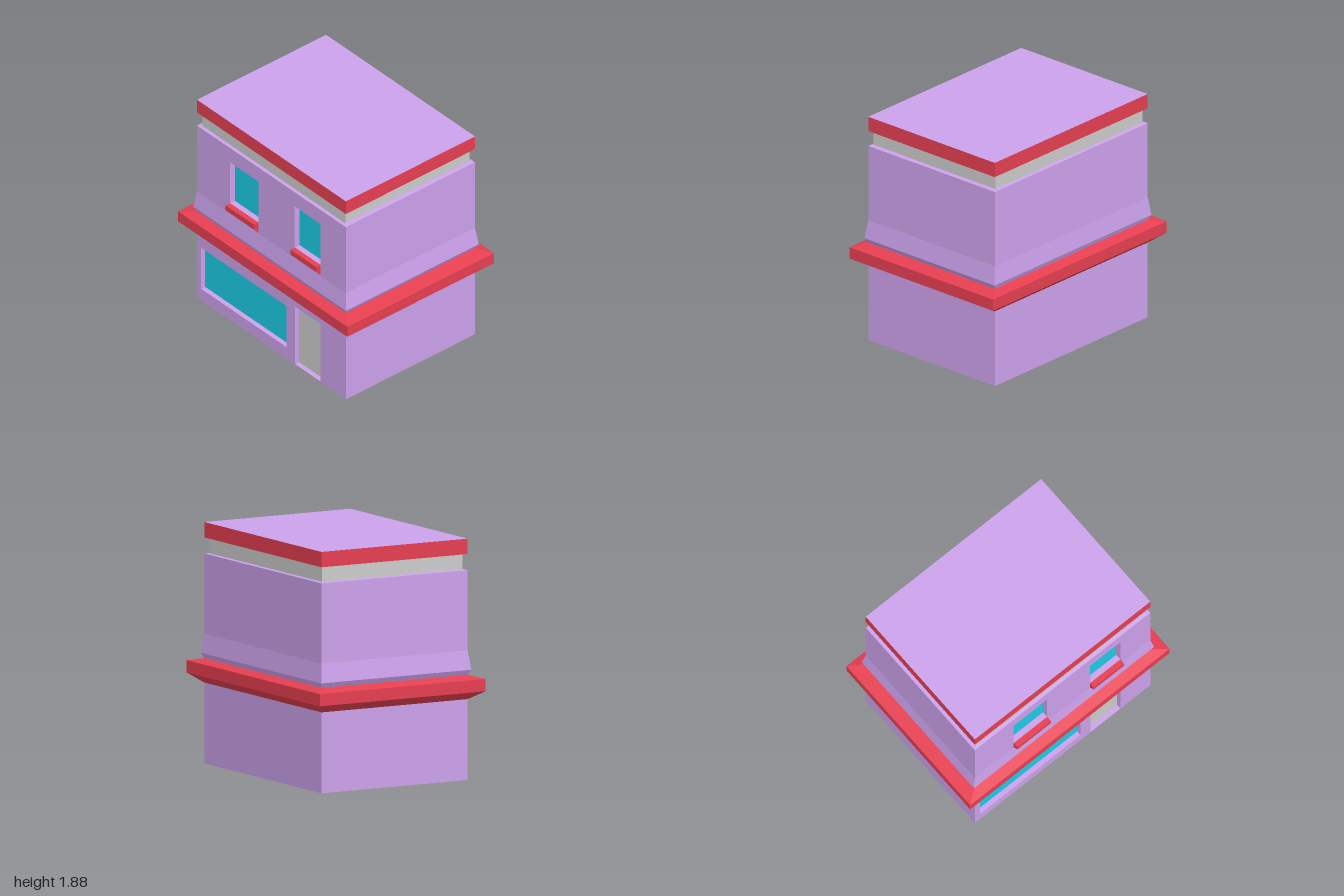
import * as THREE from 'three';

const paint = (color) => new THREE.MeshStandardMaterial({ color, flatShading: true });
const HX = 0.655, HZ = 0.88; // half width and half depth of the walls

// Rectangular rings [halfX, halfZ, y] joined from bottom to top on the chosen sides
// (0: +x, 1: -z, 2: -x, 3: +z), with optional flat caps.
function rings(profile, { sides = [0, 1, 2, 3], top = false, bottom = false } = {}) {
  const pos = [];
  const corners = ([x, z, y]) => [[x, y, z], [x, y, -z], [-x, y, -z], [-x, y, z]];
  const quad = (a, b, c, d) => pos.push(...a, ...b, ...c, ...a, ...c, ...d);
  const loops = profile.map(corners);
  for (let i = 0; i < loops.length - 1; i++) {
    const lo = loops[i], hi = loops[i + 1];
    for (const s of sides) {
      const n = (s + 1) % 4;
      quad(lo[s], lo[n], hi[n], hi[s]);
    }
  }
  if (top) quad(...loops[loops.length - 1]);
  if (bottom) quad(...[...loops[0]].reverse());
  const g = new THREE.BufferGeometry();
  g.setAttribute('position', new THREE.Float32BufferAttribute(pos, 3));
  g.computeVertexNormals();
  return g;
}

// Rectangle traced in the plane of the facade (z, y)
function rect(Type, [z0, z1, y0, y1]) {
  const p = new Type();
  p.moveTo(z0, y0).lineTo(z1, y0).lineTo(z1, y1).lineTo(z0, y1).closePath();
  return p;
}

export function createModel() {
  const group = new THREE.Group();
  const purple = paint(0xcca1eb), red = paint(0xe63f51), grey = paint(0xcccccc), teal = paint(0x1ccae4);
  const add = (name, geometry, material) => {
    const mesh = new THREE.Mesh(geometry, material);
    mesh.name = name;
    group.add(mesh);
    return mesh;
  };

  // Wall panel on the -x side, pierced by openings
  const facade = (name, y0, y1, openings, depth) => {
    const shape = rect(THREE.Shape, [-HZ, HZ, y0, y1]);
    shape.holes = openings.map((o) => rect(THREE.Path, o));
    const g = new THREE.ExtrudeGeometry(shape, { depth, bevelEnabled: false });
    add(name, g.rotateY(-Math.PI / 2).translate(-HX + depth, 0, 0), purple);
  };
  // Flat panel closing the back of an opening
  const pane = (name, [z0, z1, y0, y1], depth, material) => {
    const g = new THREE.PlaneGeometry(z1 - z0, y1 - y0).rotateY(-Math.PI / 2);
    add(name, g, material).position.set(-HX + depth, (y0 + y1) / 2, (z0 + z1) / 2);
  };

  // Ground floor
  const shop = [-0.83, 0.18, 0.11, 0.5], door = [0.28, 0.58, 0.005, 0.55];
  add('groundFloorWalls', rings([[HX, HZ, 0], [HX, HZ, 0.63]], { sides: [0, 1, 3], bottom: true }), purple);
  facade('groundFloorFacade', 0, 0.63, [shop, door], 0.04);
  pane('shopWindow', shop, 0.04, teal);
  pane('door', door, 0.04, grey);

  // Projecting cornice between the floors
  add('cornice', rings([[HX, HZ, 0.63], [0.743, 1, 0.7], [0.743, 1, 0.795], [HX, HZ, 0.82]]), red);

  // Flared skirt of the upper floor
  add('flaredSkirt', rings([[HX, HZ, 0.82], [0.673, 0.904, 0.86], [HX, HZ, 1.01]]), purple);

  // Upper floor
  const windows = [[-0.49, -0.155, 1.11, 1.5], [0.275, 0.58, 1.11, 1.5]];
  add('upperFloorWalls', rings([[HX, HZ, 1.01], [HX, HZ, 1.635]], { sides: [0, 1, 3] }), purple);
  facade('upperFloorFacade', 1.01, 1.635, windows, 0.05);
  add('wallLedge', rings([[HX, HZ, 1.635], [0.63, 0.845, 1.64]]), purple);

  // Upper windows with sloping sills
  const sillProfile = new THREE.Shape([[-HX, 1.015], [-HX, 1.112], [-0.7, 1.112], [-0.7, 1.065]]
    .map(([x, y]) => new THREE.Vector2(x, y)));
  for (const w of windows) {
    pane('upperWindow', w, 0.05, teal);
    const sill = new THREE.ExtrudeGeometry(sillProfile, { depth: w[1] - w[0], bevelEnabled: false });
    add('windowSill', sill, red).position.z = w[0];
  }

  // Recessed band and roof
  add('recessedBand', rings([[0.63, 0.845, 1.64], [0.63, 0.845, 1.755]]), grey);
  add('roofSoffit', rings([[0.63, 0.845, 1.755], [HX, HZ, 1.76]].reverse().map(([x, z, y]) => [x, z, y]).reverse()), purple);
  add('roofFascia', rings([[HX, HZ, 1.76], [HX, HZ, 1.88]]), red);
  add('roofTop', rings([[HX, HZ, 1.88]], { top: true }), purple);
  return group;
}
